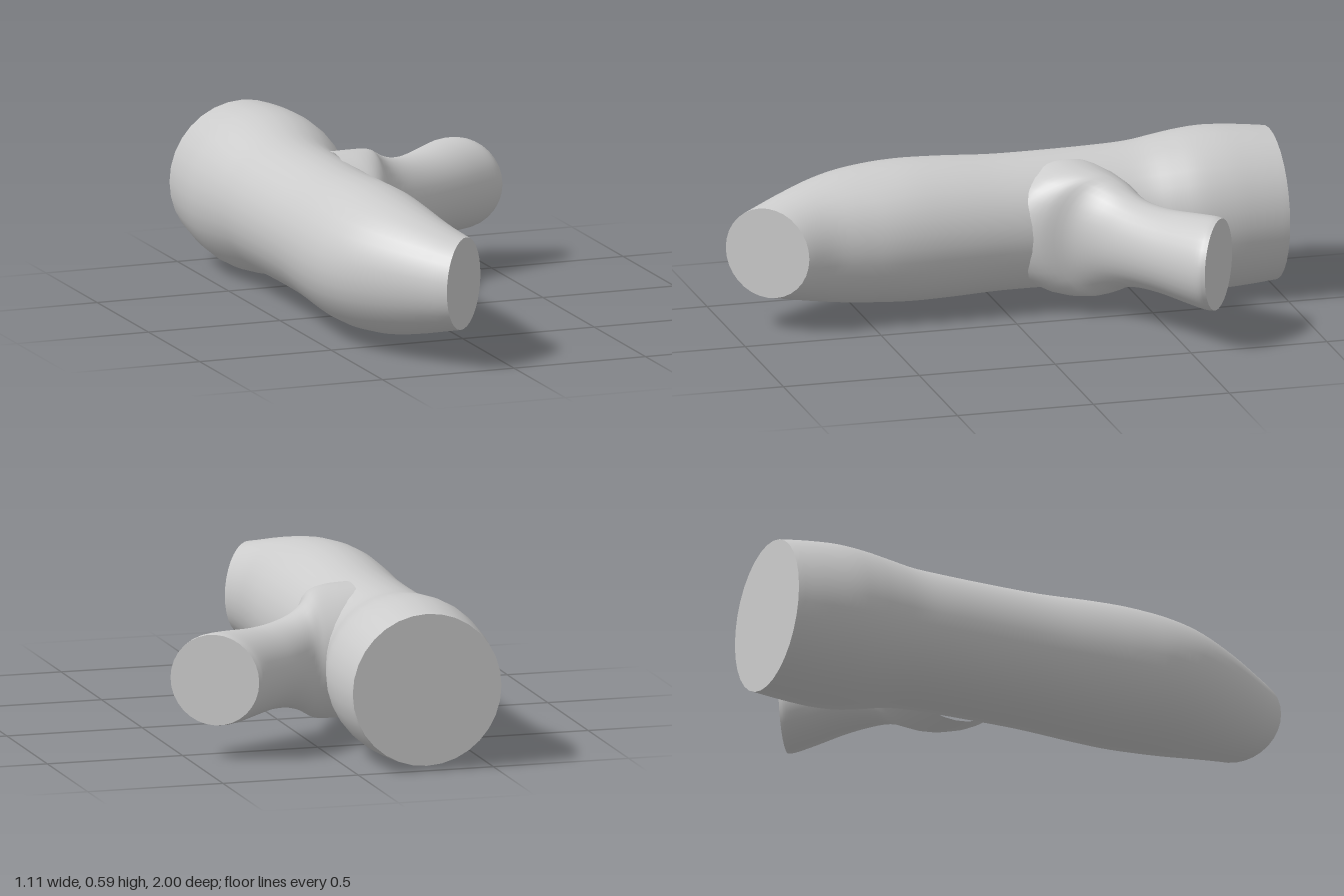
import * as THREE from 'three';

const MID_Y = 0.295, SIDES = 32, STEPS = 4;

// Each ring: [x, z] of one side, [x, z] of the other side, half height.
const TRUNK = [
  [-0.53, -1.0, 0.02, -1.0, 0.275],
  [-0.545, -0.9, 0.025, -0.9, 0.286],
  [-0.555, -0.78, 0.028, -0.8, 0.293],
  [-0.55, -0.69, 0.022, -0.69, 0.287],
  [-0.54, -0.6, 0.0, -0.6, 0.272],
  [-0.53, -0.5, -0.03, -0.5, 0.254],
  [-0.528, -0.38, -0.042, -0.38, 0.247],
  [-0.526, -0.2, -0.045, -0.2, 0.244],
  [-0.528, 0.0, -0.046, 0.0, 0.244],
  [-0.538, 0.2, -0.042, 0.18, 0.253],
  [-0.541, 0.35, -0.038, 0.32, 0.256],
  [-0.53, 0.49, -0.038, 0.43, 0.249],
  [-0.488, 0.63, -0.044, 0.54, 0.235],
  [-0.4, 0.79, -0.047, 0.65, 0.208],
  [-0.255, 1.0, -0.032, 0.755, 0.165],
];
const BRANCH = [
  [-0.2, 0.0, -0.2, -0.48, 0.24],
  [-0.1, -0.01, -0.12, -0.5, 0.237],
  [-0.037, -0.09, -0.05, -0.5, 0.227],
  [0.0, -0.19, -0.01, -0.498, 0.205],
  [0.07, -0.262, 0.02, -0.508, 0.176],
  [0.18, -0.323, 0.055, -0.535, 0.156],
  [0.32, -0.395, 0.11, -0.583, 0.151],
  [0.46, -0.468, 0.185, -0.645, 0.161],
  [0.535, -0.51, 0.25, -0.7, 0.167],
  [0.555, -0.535, 0.28, -0.713, 0.164],
];

// Smooth tube through elliptical rings, with flat end caps.
function loft(rings, name, capStart, material) {
  const curve = (f) => new THREE.CatmullRomCurve3(rings.map(f), false, 'catmullrom', 0.5);
  const sideA = curve((r) => new THREE.Vector3(r[0], MID_Y, r[1]));
  const sideB = curve((r) => new THREE.Vector3(r[2], MID_Y, r[3]));
  const height = curve((r) => new THREE.Vector3(r[4], 0, 0));
  const rows = (rings.length - 1) * STEPS;
  const pos = [], index = [];

  const addRing = (t) => {
    const a = sideA.getPoint(t), b = sideB.getPoint(t), h = height.getPoint(t).x;
    const c = a.clone().add(b).multiplyScalar(0.5);
    const half = b.clone().sub(c);
    for (let j = 0; j < SIDES; j++) {
      const ang = (j / SIDES) * Math.PI * 2, k = Math.cos(ang);
      pos.push(c.x + half.x * k, MID_Y + h * Math.sin(ang), c.z + half.z * k);
    }
    return c;
  };

  for (let i = 0; i <= rows; i++) addRing(i / rows);
  for (let i = 0; i < rows; i++) {
    for (let j = 0; j < SIDES; j++) {
      const n = (j + 1) % SIDES;
      const p = i * SIDES + j, q = i * SIDES + n;
      index.push(p, q, p + SIDES, q, q + SIDES, p + SIDES);
    }
  }

  // Caps use their own vertices so the rims stay sharp
  const addCap = (t, flip) => {
    const base = pos.length / 3;
    const c = addRing(t);
    pos.push(c.x, c.y, c.z);
    for (let j = 0; j < SIDES; j++) {
      const p = base + j, q = base + ((j + 1) % SIDES);
      index.push(base + SIDES, flip ? q : p, flip ? p : q);
    }
  };
  addCap(1, false);
  if (capStart) addCap(0, true);

  const geometry = new THREE.BufferGeometry();
  geometry.setAttribute('position', new THREE.Float32BufferAttribute(pos, 3));
  geometry.setIndex(index);
  geometry.computeVertexNormals();
  const mesh = new THREE.Mesh(geometry, material);
  mesh.name = name;
  return mesh;
}

export function createModel() {
  const group = new THREE.Group();
  group.name = 'branchingTube';
  const material = new THREE.MeshStandardMaterial({ color: 0xcccccc });
  group.add(loft(TRUNK, 'trunk', true, material));
  // The branch root widens and sinks into the trunk
  group.add(loft(BRANCH, 'sideBranch', false, material));
  return group;
}
